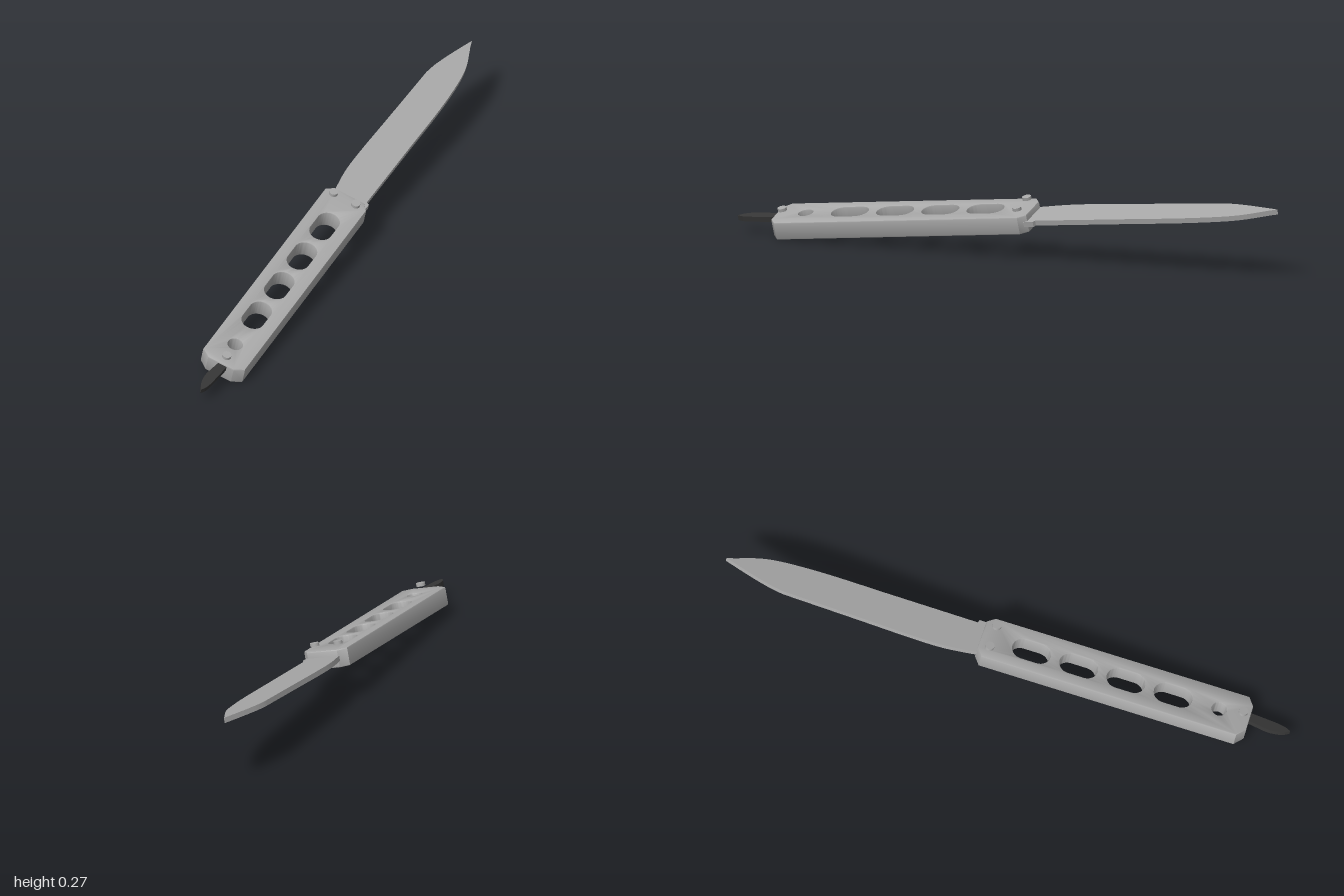
import * as THREE from 'three';
import { toCreasedNormals } from 'three/addons/utils/BufferGeometryUtils.js';

const steel = new THREE.MeshStandardMaterial({ color: 0xa8a8a8 });
steel.name = 'steel';
const black = new THREE.MeshStandardMaterial({ color: 0x363636 });
black.name = 'black';

// Slab lying flat: shape x runs along the knife, shape y points to its back edge
function slab(name, shape, bottom, thickness, material, bevel = 0) {
  const geo = new THREE.ExtrudeGeometry(shape, {
    depth: thickness - 2 * bevel,
    bevelEnabled: bevel > 0,
    bevelSize: bevel,
    bevelThickness: bevel,
    bevelOffset: -bevel,
    bevelSegments: 2,
    curveSegments: 16,
  });
  geo.translate(0, 0, bottom + bevel);
  geo.rotateX(-Math.PI / 2);
  const mesh = new THREE.Mesh(toCreasedNormals(geo, 0.6), material);
  mesh.name = name;
  return mesh;
}

// Rounded slot hole
function slot(x, y, halfLength, radius) {
  const path = new THREE.Path();
  const d = halfLength - radius;
  path.absarc(x + d, y, radius, -Math.PI / 2, Math.PI / 2, false);
  path.absarc(x - d, y, radius, Math.PI / 2, Math.PI * 1.5, false);
  path.closePath();
  return path;
}

function points(list) {
  return list.map(([x, y]) => new THREE.Vector2(x, y));
}

export function createModel() {
  const model = new THREE.Group();
  model.name = 'foldingKnife';
  const knife = new THREE.Group();
  knife.name = 'knife';
  model.add(knife);

  // Handle with cut corners, four slots and a round hole
  const handle = new THREE.Shape(points([
    [-0.938, -0.042], [-0.914, -0.078], [0.075, -0.077], [0.104, -0.054],
    [0.108, 0.069], [0.085, 0.102], [-0.908, 0.102], [-0.938, 0.066],
  ]));
  for (let i = 0; i < 4; i++) handle.holes.push(slot(-0.64 + i * 0.184, 0.015, 0.073, 0.042));
  const hole = new THREE.Path();
  hole.absarc(-0.819, 0.013, 0.028, 0, Math.PI * 2, true);
  handle.holes.push(hole);
  knife.add(slab('handle', handle, -0.035, 0.07, steel, 0.005));

  // Blade with a clipped back, curved belly and fine point
  const blade = new THREE.Shape();
  blade.moveTo(0.08, -0.064);
  blade.lineTo(0.13, -0.064);
  blade.lineTo(0.135, -0.052);
  blade.lineTo(0.5, -0.056);
  blade.splineThru(points([[0.7, -0.059], [0.83, -0.056], [0.92, -0.049], [0.98, -0.037], [1.035, -0.018], [1.069, -0.005]]));
  blade.lineTo(1.099, 0.004);
  blade.lineTo(1.052, 0.02);
  blade.splineThru(points([[0.98, 0.043], [0.91, 0.062], [0.858, 0.071]]));
  blade.splineThru(points([[0.57, 0.081], [0.35, 0.089], [0.22, 0.088], [0.08, 0.07]]));
  blade.closePath();
  knife.add(slab('blade', blade, -0.01, 0.02, steel));

  // Dark latch at the tail
  const latch = new THREE.Shape();
  latch.moveTo(-0.92, -0.014);
  latch.lineTo(-0.95, -0.012);
  latch.splineThru(points([[-1.0, -0.008], [-1.045, -0.004], [-1.075, 0.002], [-1.096, 0.012]]));
  latch.splineThru(points([[-1.072, 0.026], [-1.04, 0.033], [-1.01, 0.034], [-0.97, 0.028], [-0.92, 0.02]]));
  latch.closePath();
  knife.add(slab('latch', latch, 0.01, 0.02, black));

  // Pin heads standing clear of the upper face
  for (const [x, z] of [[0.066, -0.061], [0.063, 0.035], [-0.908, -0.006]]) {
    const pin = new THREE.Mesh(new THREE.CylinderGeometry(0.017, 0.017, 0.012, 24), steel);
    pin.name = 'pin';
    pin.position.set(x, 0.054, z);
    knife.add(pin);
  }

  // Tilted resting pose, centred and standing on the ground
  knife.rotation.set(0.253, 0.424, 0);
  model.updateMatrixWorld(true);
  const box = new THREE.Box3().setFromObject(model, true);
  const centre = box.getCenter(new THREE.Vector3());
  knife.position.set(-centre.x, -box.min.y, -centre.z);
  return model;
}
